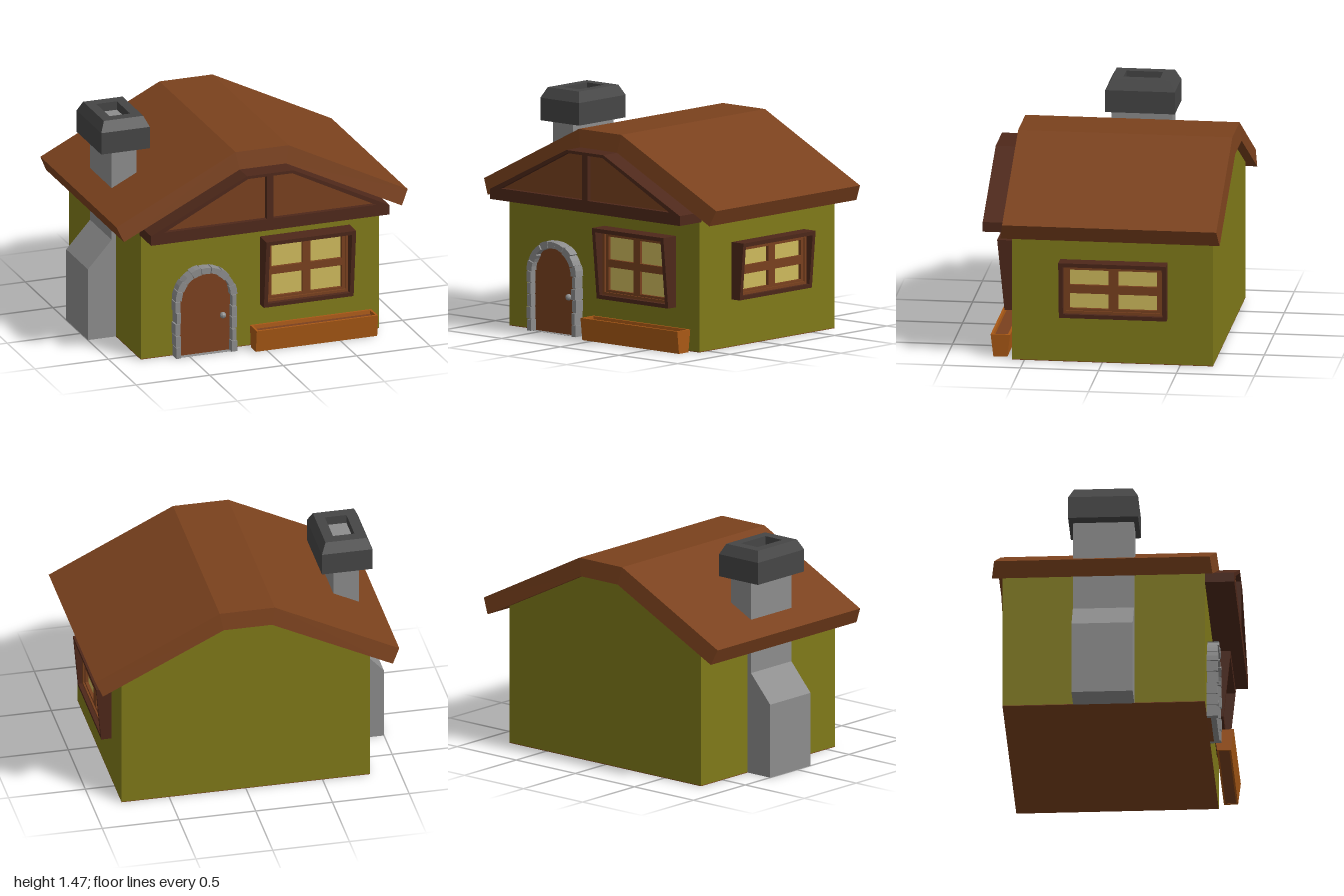
import * as THREE from 'three';

const mat = (color) => new THREE.MeshStandardMaterial({ color, flatShading: true });
const M = {
  wall: mat(0x7f7919), roof: mat(0x7a411d), timber: mat(0x4e281a), panel: mat(0x78401e),
  door: mat(0x7a401e), glass: mat(0xcdb95c), stone: mat(0x8c8c8c), soot: mat(0x454545),
  planter: mat(0xa85815), soil: mat(0x7a401e),
};

const poly = (pts) => new THREE.Shape(pts.map(([x, y]) => new THREE.Vector2(x, y)));
const rect = (x0, y0, x1, y1) => poly([[x0, y0], [x1, y0], [x1, y1], [x0, y1]]);
const withHoles = (shape, holes) => { shape.holes.push(...holes); return shape; };

// Extrude a front-facing shape between two depths
function slab(shape, z0, z1, curveSegments = 12) {
  const g = new THREE.ExtrudeGeometry(shape, { depth: z1 - z0, bevelEnabled: false, curveSegments });
  return g.translate(0, 0, z0);
}

// Move every vertex by a rule
function warp(g, rule) {
  const p = g.attributes.position, v = new THREE.Vector3();
  for (let i = 0; i < p.count; i++) {
    rule(v.fromBufferAttribute(p, i));
    p.setXYZ(i, v.x, v.y, v.z);
  }
  g.computeVertexNormals();
  return g;
}

function add(parent, name, geometry, material) {
  const m = new THREE.Mesh(geometry, material);
  m.name = name;
  parent.add(m);
  return m;
}

function box(parent, name, material, x0, x1, y0, y1, z0, z1) {
  const g = new THREE.BoxGeometry(x1 - x0, y1 - y0, z1 - z0);
  g.translate((x0 + x1) / 2, (y0 + y1) / 2, (z0 + z1) / 2);
  return add(parent, name, g, material);
}

// Underside of the roof, used by everything that meets it
const underside = (x) => Math.min(1.225, 0.835 + (0.945 - Math.abs(x)) * 0.495);

function makeWindow(name, w, h, topDepth, bottomDepth, bar) {
  const g = new THREE.Group();
  g.name = name;
  const a = w / 2, b = h / 2, t = 0.026;
  // Outer casing leans outward toward the top
  const casing = slab(withHoles(rect(-a, -b, a, b), [rect(-a + t, -b + t, a - t, b - t)]), 0, 1);
  warp(casing, (v) => {
    v.z *= THREE.MathUtils.lerp(bottomDepth, topDepth, (v.y + b) / h);
  });
  add(g, 'windowCasing', casing, M.timber);
  // Stepped sash with four panes
  const s = 0.043, pane = 0.066, k = bar / 2;
  add(g, 'windowSash', slab(withHoles(rect(-a + t, -b + t, a - t, b - t),
    [rect(-a + s, -b + s, a - s, b - s)]), 0, 0.045), M.panel);
  const holes = [];
  for (const [x0, x1] of [[-a + pane, -k], [k, a - pane]])
    for (const [y0, y1] of [[-b + pane - 0.008, -k * 0.9], [k * 0.9, b - pane + 0.008]])
      holes.push(rect(x0, y0, x1, y1));
  add(g, 'windowBars', slab(withHoles(rect(-a + s, -b + s, a - s, b - s), holes), 0, 0.034), M.panel);
  box(g, 'windowGlass', M.glass, -a + s, a - s, -b + s, b - s, 0, 0.014);
  return g;
}

function makeDoor() {
  const g = new THREE.Group();
  g.name = 'door';
  const cx = -0.39, spring = 0.385, inner = 0.17;
  const leaf = new THREE.Shape();
  leaf.moveTo(cx - inner - 0.01, 0);
  leaf.lineTo(cx + inner + 0.01, 0);
  leaf.lineTo(cx + inner + 0.01, spring);
  leaf.absarc(cx, spring, inner + 0.01, 0, Math.PI, false);
  add(g, 'doorLeaf', slab(leaf, 0.57, 0.605), M.door);
  const knob = add(g, 'doorKnob', new THREE.SphereGeometry(0.021, 10, 8), M.stone);
  knob.position.set(-0.267, 0.245, 0.622);

  // Stone surround: stacked jambs and a ring of wedge stones
  const wobble = (i) => 0.004 * Math.sin(i * 2.4);
  const gap = 0.003;
  const stone = (pts, i) => add(g, 'archStone', slab(poly(pts), 0.57, 0.651 + wobble(i)), M.stone);
  const rows = [0, 0.075, 0.155, 0.235, 0.31, spring];
  for (const side of [-1, 1]) {
    for (let i = 0; i < rows.length - 1; i++) {
      const r0 = inner + 0.004 + wobble(i + 2) * 0.5, r1 = 0.207 + wobble(i + side);
      const xs = [cx + side * r0, cx + side * r1].sort((p, q) => p - q);
      const y0 = rows[i] + (i ? gap : 0), y1 = rows[i + 1] - gap;
      stone([[xs[0], y0], [xs[1], y0], [xs[1], y1], [xs[0], y1]], i);
    }
  }
  const count = 9;
  for (let i = 0; i < count; i++) {
    const a0 = (i / count) * Math.PI + 0.012, a1 = ((i + 1) / count) * Math.PI - 0.012;
    const am = (a0 + a1) / 2, r1 = 0.208 + wobble(i + 1), r0 = inner - 0.004 + wobble(i);
    const at = (r, a) => [cx + r * Math.cos(a), spring + r * Math.sin(a)];
    stone([at(r0, a0), at(r1, a0), at(r1, am), at(r1, a1), at(r0, a1), at(r0, am)], i);
  }
  // Mortar behind the stones
  const mortar = new THREE.Shape();
  mortar.moveTo(cx - 0.2, 0);
  mortar.lineTo(cx + 0.2, 0);
  mortar.lineTo(cx + 0.2, spring);
  mortar.absarc(cx, spring, 0.2, 0, Math.PI, false);
  const hole = new THREE.Path();
  hole.moveTo(cx - 0.178, 0.001);
  hole.lineTo(cx - 0.178, spring);
  hole.absarc(cx, spring, 0.178, Math.PI, 0, true);
  hole.lineTo(cx + 0.178, 0.001);
  add(g, 'archMortar', slab(withHoles(mortar, [hole]), 0.57, 0.64), M.stone);
  return g;
}

function makeChimney() {
  const g = new THREE.Group();
  g.name = 'chimney';
  const z0 = -0.26, z1 = 0.13;
  // Stack and its sloped shoulder against the wall
  add(g, 'chimneyStack', slab(poly([[-1, 0], [-0.67, 0], [-0.67, 1.3], [-0.838, 1.3],
    [-0.838, 0.66], [-1, 0.48]]), z0, z1), M.stone);
  // Cap with chamfered top and open flue
  const cx = -0.755, cz = -0.063;
  const ring = (hx, hz) => rect(-hx, -hz, hx, hz);
  const cap = withHoles(ring(0.165, 0.223), [ring(0.07, 0.118)]);
  const lift = (geo) => geo.rotateX(-Math.PI / 2).translate(cx, 0, cz);
  add(g, 'chimneyCap', lift(slab(cap, 1.26, 1.405)), M.soot);
  const top = warp(slab(cap, 1.405, 1.472), (v) => {
    if (v.z > 1.44 && Math.abs(v.x) > 0.1) {
      v.x -= Math.sign(v.x) * 0.031;
      v.y -= Math.sign(v.y) * 0.036;
    }
  });
  add(g, 'chimneyCapTop', lift(top), M.soot);
  box(g, 'flueFloor', M.stone, cx - 0.071, cx + 0.071, 1.28, 1.415, cz - 0.119, cz + 0.119);
  return g;
}

function makePlanter() {
  const g = new THREE.Group();
  g.name = 'planter';
  const outer = rect(-0.075, -0.0625, 0.75, 0.0625);
  const trough = slab(withHoles(outer, [rect(-0.06, -0.047, 0.735, 0.047)]), 0, 0.145);
  trough.rotateX(-Math.PI / 2);
  const taper = (v) => { v.z = 0.6615 + v.z * (0.72 + 0.28 * v.y / 0.145); };
  add(g, 'planterTrough', warp(trough, taper), M.planter);
  const soil = new THREE.BoxGeometry(0.8, 0.12, 0.096).translate(0.3375, 0.0605, 0);
  add(g, 'planterSoil', warp(soil, taper), M.soil);
  return g;
}

function makeGable() {
  const g = new THREE.Group();
  g.name = 'frontGable';
  const outline = () => poly([[-0.81, 0.838], [0.81, 0.838], [0.81, underside(0.81)],
    [0.157, 1.224], [-0.157, 1.224], [-0.81, underside(0.81)]]);
  // Timber frame with two openings either side of the king post
  const opening = (s) => poly([[s * 0.022, 0.915], [s * 0.72, 0.915], [s * 0.15, 1.205], [s * 0.022, 1.205]]);
  add(g, 'gableFrame', slab(withHoles(outline(), [opening(-1), opening(1)]), 0.56, 0.767), M.timber);
  add(g, 'gablePanel', slab(poly([[-0.75, 0.9], [0.75, 0.9], [0.15, 1.21], [-0.15, 1.21]]), 0.6, 0.735), M.panel);
  return g;
}

export function createModel() {
  const house = new THREE.Group();
  house.name = 'cottage';

  // Walls and floor
  const e = underside(0.81);
  add(house, 'walls', slab(poly([[-0.81, 0.004], [0.81, 0.004], [0.81, e], [0.157, 1.224],
    [-0.157, 1.224], [-0.81, e]]), -0.71, 0.58), M.wall);
  box(house, 'floor', M.roof, -0.81, 0.81, 0, 0.004, -0.71, 0.58);

  // Roof slab: the upper surface is slightly shorter than the underside
  const half = [[0.945, 0.835], [0.99, 0.935], [0.18, 1.34]];
  const roof = slab(poly([...half, ...half.map(([x, y]) => [-x, y]).reverse(),
    [-0.157, 1.225], [0.157, 1.225]]), -0.77, 0.636);
  warp(roof, (v) => {
    if (v.y > underside(v.x) + 0.05) v.z -= Math.sign(v.z) * 0.016;
  });
  add(house, 'roof', roof, M.roof);

  // Windows
  const front = makeWindow('frontWindow', 0.61, 0.46, 0.12, 0.073, 0.055);
  front.position.set(0.305, 0.5, 0.58);
  const side = makeWindow('sideWindow', 0.69, 0.37, 0.1, 0.068, 0.062);
  side.position.set(0.81, 0.49, -0.075);
  side.rotation.y = Math.PI / 2;

  house.add(makeGable(), front, side, makeDoor(), makeChimney(), makePlanter());
  return house;
}
